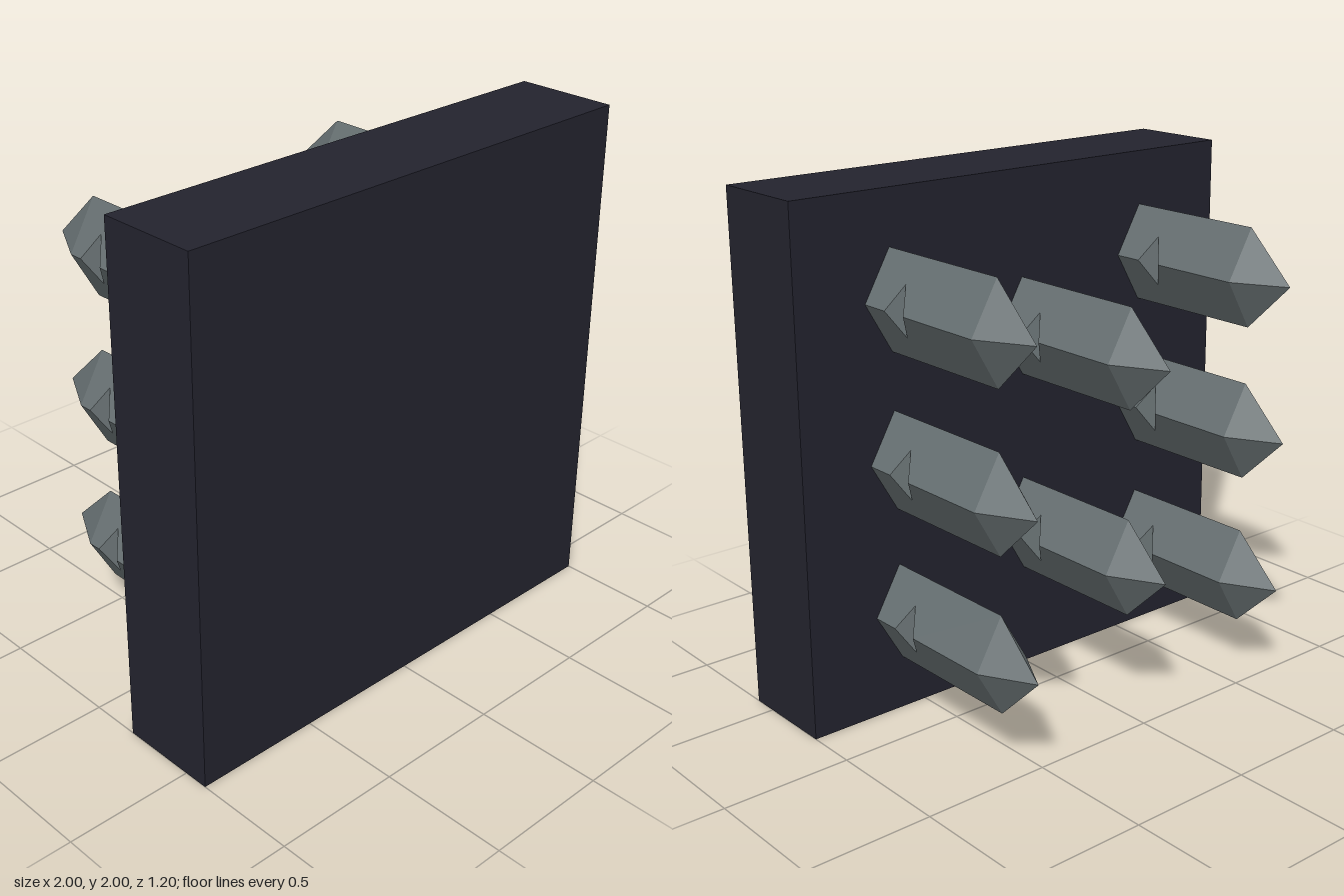
import * as THREE from 'three';

const HALF_W = 0.11, HALF_H = 0.19;         // diamond cross-section
const BASE_Z = 0.2, SHOULDER_Z = -0.4, TIP_Z = -0.6;
const NOTCH = 0.055;                        // notch depth and half length

// Diamond bar with a pyramid point and one notch cut in each side edge.
function spikeGeometry() {
  const pos = [];
  for (const s of [1, -1]) {
    const zc = s > 0 ? 0.03 : -0.29;        // notch centre on this edge
    for (const v of [1, -1]) {
      const p = (x, y, z) => [s * x, v * y, z];
      const ridge0 = p(0, HALF_H, BASE_Z), ridge1 = p(0, HALF_H, SHOULDER_Z);
      const edge0 = p(HALF_W, 0, BASE_Z), edge1 = p(HALF_W, 0, SHOULDER_Z);
      const n0 = p(HALF_W, 0, zc + NOTCH), n1 = p(HALF_W, 0, zc - NOTCH);
      const deep = p(HALF_W - NOTCH, HALF_H / 2, zc);
      const mid = p(HALF_W - NOTCH, 0, zc);
      const tip = p(0, 0, TIP_Z);
      const tris = [
        // long face around the notch
        [ridge0, edge0, n0], [ridge0, n0, deep], [ridge0, deep, ridge1],
        [ridge1, deep, n1], [ridge1, n1, edge1],
        // point
        [ridge1, edge1, tip],
        // notch walls
        [n0, mid, deep], [n1, deep, mid],
      ];
      // mirrored quarters need reversed corners
      for (const [a, b, c] of tris) pos.push(...a, ...(s * v > 0 ? [...b, ...c] : [...c, ...b]));
    }
  }
  const g = new THREE.BufferGeometry();
  g.setAttribute('position', new THREE.Float32BufferAttribute(pos, 3));
  g.computeVertexNormals();
  return g;
}

export function createModel() {
  const group = new THREE.Group();
  group.name = 'spikedPanel';

  const panelMat = new THREE.MeshStandardMaterial({ color: 0x23232e });
  panelMat.name = 'darkPanel';
  const spikeMat = new THREE.MeshStandardMaterial({ color: 0x677072 });
  spikeMat.name = 'greySteel';

  // Square backing panel
  const panel = new THREE.Mesh(new THREE.BoxGeometry(2, 2, 0.4), panelMat);
  panel.name = 'panel';
  panel.position.set(0, 1, 0.4);
  group.add(panel);

  // Staggered columns of spikes on the back
  const geo = spikeGeometry();
  const columns = [[-0.6, [0.4, 1, 1.6]], [0, [0.6, 1.4]], [0.6, [0.4, 1, 1.6]]];
  for (const [x, heights] of columns) {
    for (const y of heights) {
      const spike = new THREE.Mesh(geo, spikeMat);
      spike.name = 'spike';
      spike.position.set(x, y, 0);
      group.add(spike);
    }
  }
  return group;
}
